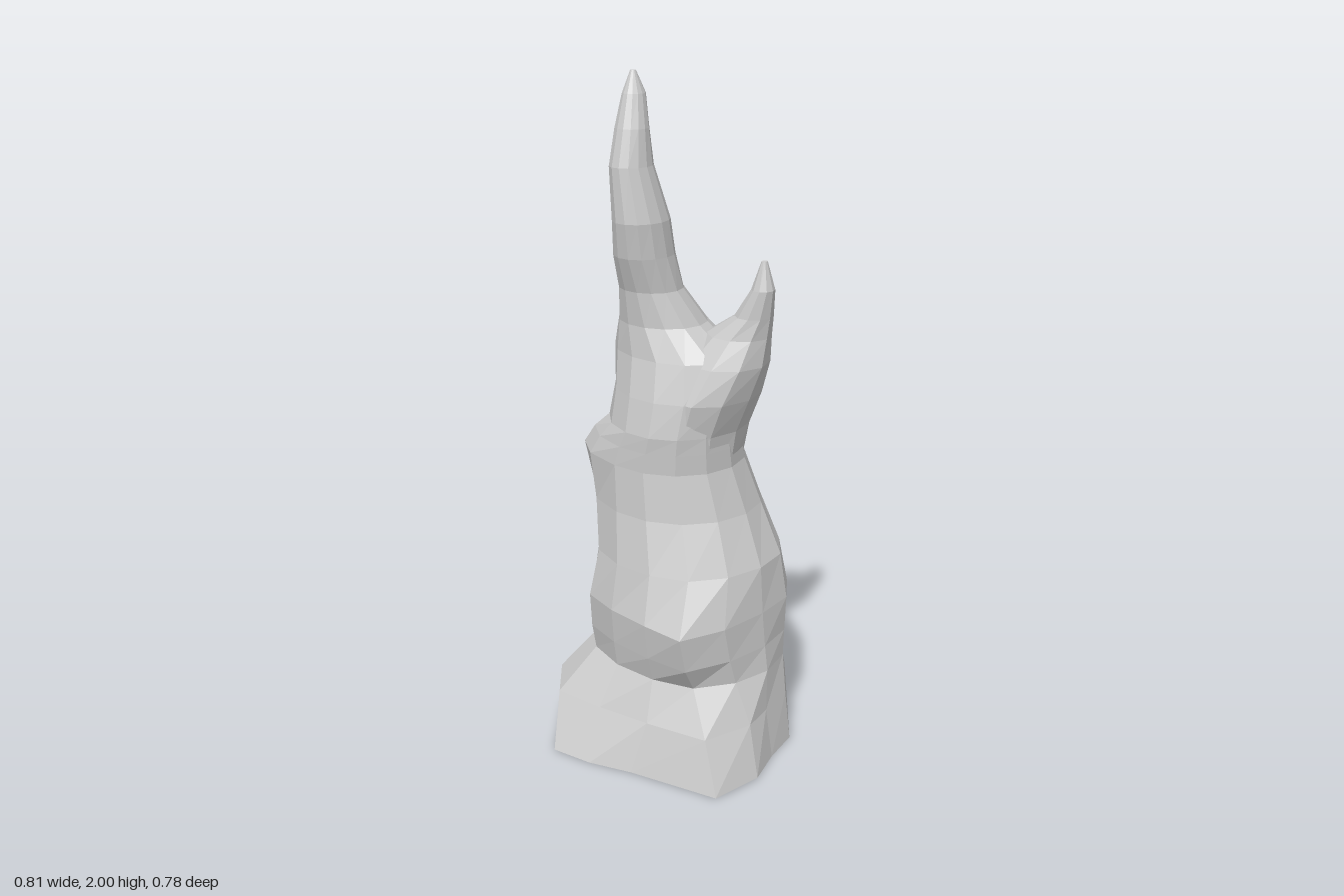
import * as THREE from 'three';

const rock = new THREE.MeshStandardMaterial({ color: 0xcccccc, flatShading: true });

// Elliptical ring of n points from [y, centreX, centreZ, radiusX, radiusZ]
function ring([y, cx, cz, rx, rz], n) {
  return Array.from({ length: n }, (_, j) => {
    const a = (j / n) * Math.PI * 2;
    return new THREE.Vector3(cx + rx * Math.cos(a), y, cz + rz * Math.sin(a));
  });
}

// Closed skin through a stack of rings
function loft(rings, name) {
  const n = rings[0].length, last = rings.length - 1;
  const pos = [], index = [];
  const centre = r => r.reduce((s, p) => s.add(p), new THREE.Vector3()).divideScalar(n);
  [...rings.flat(), centre(rings[0]), centre(rings[last])].forEach(p => pos.push(p.x, p.y, p.z));
  const bottom = n * rings.length, top = bottom + 1;
  for (let j = 0; j < n; j++) {
    const k = (j + 1) % n;
    for (let i = 0; i < last; i++) {
      const a = i * n + j, b = i * n + k;
      index.push(a, a + n, b, b, a + n, b + n);
    }
    index.push(bottom, j, k, top, last * n + k, last * n + j);
  }
  const g = new THREE.BufferGeometry();
  g.setAttribute('position', new THREE.Float32BufferAttribute(pos, 3));
  g.setIndex(index);
  g.computeVertexNormals();
  const mesh = new THREE.Mesh(g, rock);
  mesh.name = name;
  return mesh;
}

// Irregular footprint (x, z) and the flared foot just above it
const footprint = [
  [0.37, 0], [0.405, 0.12], [0.375, 0.28], [0.1, 0.335], [-0.03, 0.375], [-0.16, 0.39], [-0.32, 0.18],
  [-0.41, -0.06], [-0.31, -0.16], [-0.2, -0.27], [-0.06, -0.34], [0.06, -0.39], [0.22, -0.28], [0.35, -0.12],
];
const flare = [
  [0.345, 0], [0.36, 0.1], [0.31, 0.25], [0.12, 0.285], [-0.05, 0.305], [-0.21, 0.31], [-0.315, 0.19],
  [-0.335, -0.05], [-0.28, -0.17], [-0.2, -0.27], [-0.06, -0.32], [0.06, -0.34], [0.22, -0.27], [0.33, -0.12],
];
const outline = (points, y) => points.map(([x, z]) => new THREE.Vector3(x, y, z));

// Trunk rising into the tall bent spire
const trunk = [
  [0.27, 0.035, -0.015, 0.295, 0.25],
  [0.35, 0.035, -0.01, 0.28, 0.25],
  [0.46, 0.035, 0, 0.268, 0.25],
  [0.6, 0.03, -0.005, 0.265, 0.24],
  [0.75, 0, -0.02, 0.24, 0.23],
  [0.89, -0.01, -0.005, 0.21, 0.205],
  [0.95, 0, 0.005, 0.2, 0.195],
  [1.0, 0.015, 0.01, 0.185, 0.19],
  [1.1, 0.015, 0, 0.2, 0.18],
  [1.21, 0.0, 0, 0.2, 0.15],
  [1.3, -0.035, 0.02, 0.135, 0.12],
  [1.4, -0.045, 0.06, 0.095, 0.09],
  [1.5, -0.042, 0.092, 0.083, 0.093],
  [1.6, -0.035, 0.112, 0.074, 0.09],
  [1.75, -0.052, 0.132, 0.056, 0.068],
  [1.85, -0.055, 0.125, 0.047, 0.049],
  [1.94, -0.06, 0.11, 0.031, 0.035],
  [2.0, -0.062, 0.11, 0.008, 0.008],
];

// Local swellings: centre, reach, push
const bulges = [
  { at: [0.22, 0.42, 0.2], reach: 0.125, push: [0.045, 0, 0.1] },
  { at: [-0.2, 0.87, 0.1], reach: 0.13, push: [-0.065, 0.01, 0.035] },
  { at: [0.21, 0.48, -0.17], reach: 0.18, push: [0.045, 0, -0.04] },
  { at: [-0.15, 0.42, 0.18], reach: 0.17, push: [-0.025, 0, 0.03] },
].map(b => ({ ...b, at: new THREE.Vector3(...b.at), push: new THREE.Vector3(...b.push) }));

export function createModel() {
  const group = new THREE.Group();
  group.name = 'rockSpire';

  const body = trunk.map(r => ring(r, footprint.length));
  for (const p of body.flat()) {
    const start = p.clone();
    for (const { at, reach, push } of bulges)
      p.addScaledVector(push, Math.exp(-start.distanceToSquared(at) / reach ** 2));
  }
  group.add(loft([outline(footprint, 0), outline(flare, 0.15), ...body], 'trunk'));

  // Broad-based horn growing out of the side of the trunk
  group.add(loft([
    [0.88, 0.08, -0.01, 0.11, 0.14],
    [1.0, 0.1, -0.01, 0.11, 0.155],
    [1.1, 0.125, -0.015, 0.125, 0.16],
    [1.2, 0.155, -0.03, 0.127, 0.125],
    [1.28, 0.19, -0.043, 0.097, 0.085],
    [1.34, 0.24, -0.045, 0.055, 0.055],
    [1.42, 0.272, -0.042, 0.033, 0.034],
    [1.5, 0.275, -0.042, 0.008, 0.01],
  ].map(r => ring(r, 10)), 'sideHorn'));

  // Stub swelling out of the back and curling upward
  group.add(loft([
    [0.04, -0.08, -0.12, 0.15, 0.15],
    [0.22, -0.1, -0.15, 0.155, 0.155],
    [0.33, -0.135, -0.2, 0.138, 0.138],
    [0.46, -0.168, -0.25, 0.118, 0.122],
    [0.58, -0.187, -0.28, 0.103, 0.107],
    [0.66, -0.212, -0.305, 0.07, 0.073],
    [0.74, -0.262, -0.35, 0.01, 0.01],
  ].map(r => ring(r, 8)), 'backStub'));

  return group;
}
